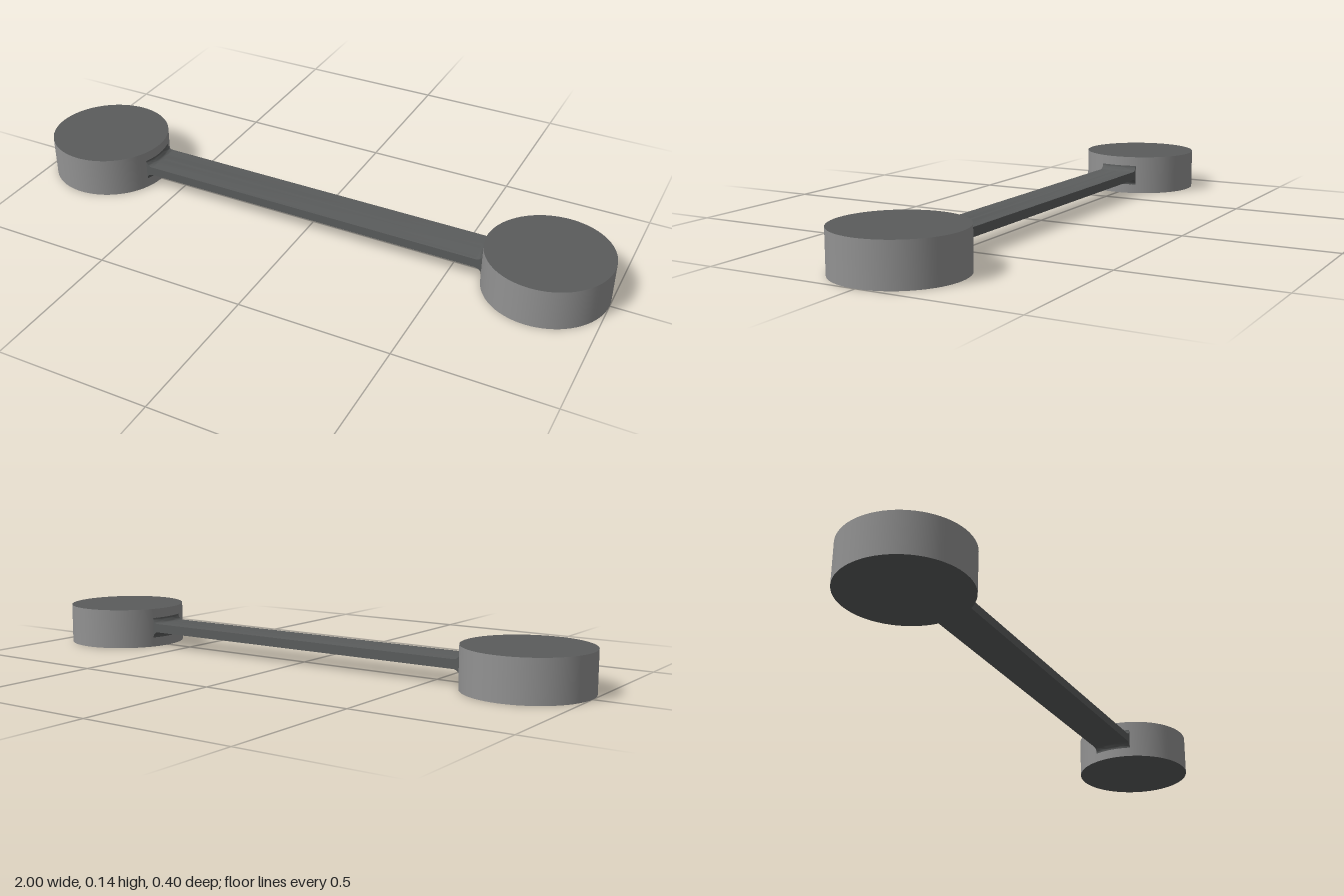
import * as THREE from 'three';
import { toCreasedNormals } from 'three/addons/utils/BufferGeometryUtils.js';

const DISC_R = 0.2, DISC_H = 0.135, DISC_X = 0.8;
const BAR_H = 0.03, BAR_W = 0.134, FILLET = 0.02;

// Flat bar whose ends wrap the discs and flare up and down in a round fillet
function barGeometry() {
  const n = 8, cols = 2 * n + 1;
  const geo = new THREE.BoxGeometry(1, 1, 1, cols, 1, 12);
  const pos = geo.attributes.position;
  for (let i = 0; i < pos.count; i++) {
    const col = Math.round((pos.getX(i) + 0.5) * cols);
    const side = col <= n ? -1 : 1;
    const a = (Math.min(col, cols - col) / n) * Math.PI / 2;
    const z = pos.getZ(i) * BAR_W;
    const rho = DISC_R + FILLET * (1 - Math.cos(a));
    const half = BAR_H / 2 + FILLET * (1 - Math.sin(a));
    const x = side * (DISC_X - Math.sqrt(rho * rho - z * z));
    pos.setXYZ(i, x, Math.sign(pos.getY(i)) * half, z);
  }
  return toCreasedNormals(geo, 0.6);
}

export function createModel() {
  const model = new THREE.Group();
  model.name = 'barWithDiscEnds';

  const lightGrey = new THREE.MeshStandardMaterial({ color: 0x929292 });
  lightGrey.name = 'lightGrey';
  const darkGrey = new THREE.MeshStandardMaterial({ color: 0x5a5c5c });
  darkGrey.name = 'darkGrey';

  // End discs: light walls, dark flat faces
  const discGeo = new THREE.CylinderGeometry(DISC_R, DISC_R, DISC_H, 72);
  for (const [name, side] of [['leftDisc', 1], ['rightDisc', -1]]) {
    const disc = new THREE.Mesh(discGeo, [lightGrey, darkGrey, darkGrey]);
    disc.name = name;
    disc.position.set(side * DISC_X, DISC_H / 2, 0);
    model.add(disc);
  }

  // Connecting bar at mid height
  const bar = new THREE.Mesh(barGeometry(), darkGrey);
  bar.name = 'connectingBar';
  bar.position.y = DISC_H / 2;
  model.add(bar);

  return model;
}
